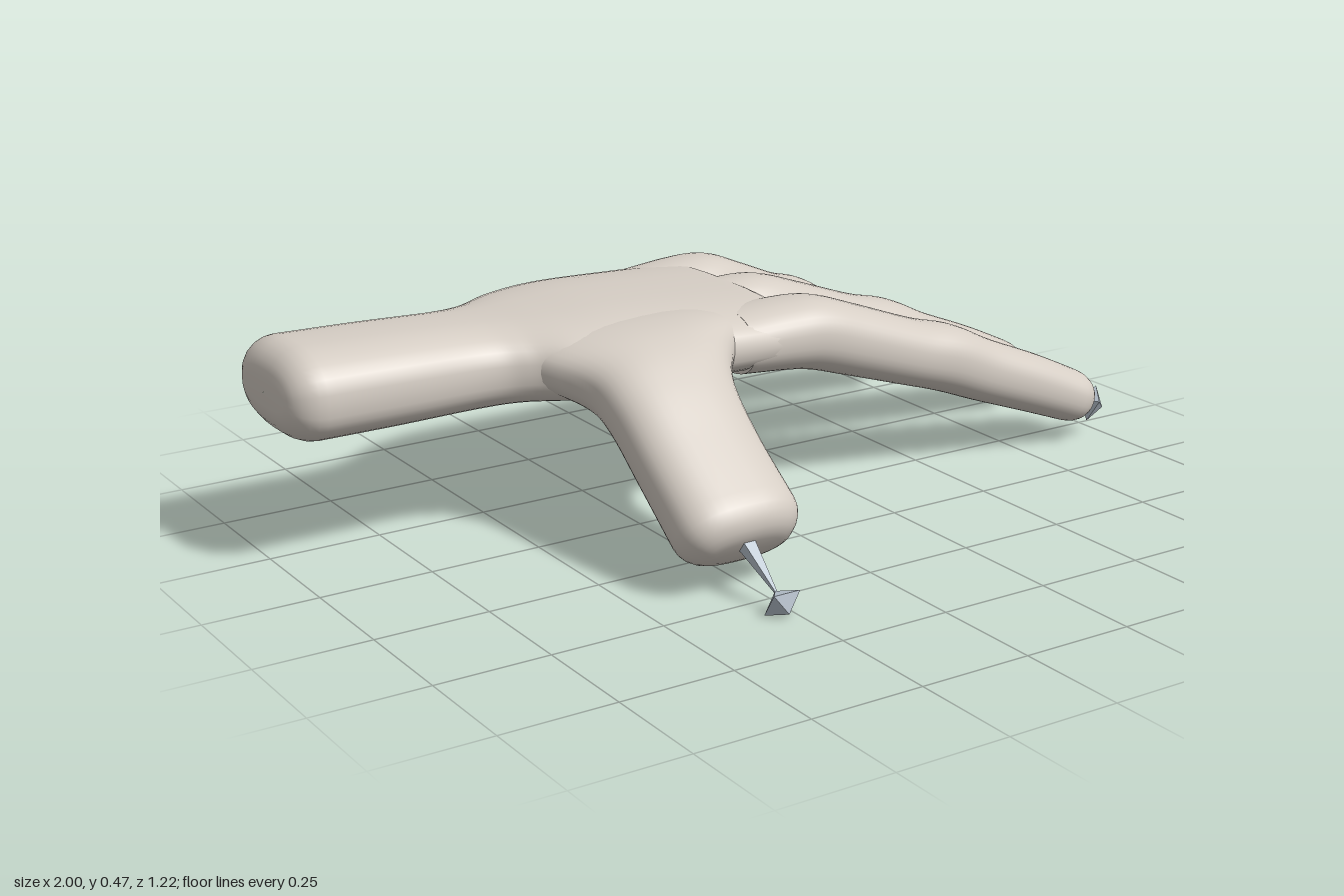
import * as THREE from 'three';

const V = (x, y, z) => new THREE.Vector3(x, y, z);
const skin = new THREE.MeshStandardMaterial({ color: 0xd5cdc4 });
const bone = new THREE.MeshStandardMaterial({ color: 0xb9c4cf, flatShading: true });

// Smooth loft. Stations are [x, y, z, halfWidth, halfThickness]; side is the width direction.
// power > 2 squares off the cross-section; cap is the radius of the rounded ends.
function loft(name, stations, side, { power = 2.3, cap = 0.06, capStart = 0, steps = 40 } = {}) {
  const path = new THREE.CatmullRomCurve3(stations.map(s => V(s[0], s[1], s[2])), false, 'catmullrom', 0.5);
  const size = new THREE.CatmullRomCurve3(stations.map(s => V(s[3], s[4], 0)), false, 'catmullrom', 0.5);
  const rings = [];
  const add = (t, shift, inset) => {
    const tangent = path.getTangent(t), s = size.getPoint(t);
    rings.push({
      c: path.getPoint(t).addScaledVector(tangent, shift),
      up: side.clone().cross(tangent).normalize(),
      a: Math.max(s.x - inset, 0.0005), b: Math.max(s.y - inset, 0.0005),
    });
  };
  const arc = [0, 1, 2, 3, 4, 5, 6].map(i => i / 6 * Math.PI / 2);
  add(0, -capStart, 1);
  for (const q of [...arc].reverse()) add(0, -capStart * Math.sin(q), capStart * (1 - Math.cos(q)));
  for (let i = 1; i < steps; i++) add(i / steps, 0, 0);
  for (const q of arc) add(1, cap * Math.sin(q), cap * (1 - Math.cos(q)));
  add(1, cap, 1);

  const N = 40, pos = [], index = [];
  const soft = v => Math.sign(v) * Math.abs(v) ** (2 / power);
  rings.forEach((r, i) => {
    for (let j = 0; j < N; j++) {
      const f = j / N * Math.PI * 2;
      const p = r.c.clone().addScaledVector(side, r.a * soft(Math.cos(f))).addScaledVector(r.up, r.b * soft(Math.sin(f)));
      pos.push(p.x, p.y, p.z);
      if (i === rings.length - 1) continue;
      const k = (j + 1) % N, A = i * N + j, B = i * N + k, C = A + N, D = B + N;
      index.push(A, C, B, B, C, D);
    }
  });
  const geo = new THREE.BufferGeometry();
  geo.setAttribute('position', new THREE.Float32BufferAttribute(pos, 3));
  geo.setIndex(index);
  geo.computeVertexNormals();
  const mesh = new THREE.Mesh(geo, skin);
  mesh.name = name;
  return mesh;
}

// Rig marker: tapered spike leaving the fingertip, ending in a small octahedron
function tipBone(name, from, to) {
  const g = new THREE.Group();
  const dir = to.clone().sub(from), len = dir.length();
  const spike = new THREE.Mesh(new THREE.ConeGeometry(0.024, len, 4), bone);
  spike.name = 'boneSpike';
  spike.position.y = -len / 2;
  const joint = new THREE.Mesh(new THREE.OctahedronGeometry(0.044), bone);
  joint.name = 'boneJoint';
  joint.scale.y = 0.68;
  joint.rotation.y = spike.rotation.y = Math.PI / 4;
  g.add(spike, joint);
  g.quaternion.setFromUnitVectors(V(0, 1, 0), dir.normalize());
  g.position.copy(to);
  g.name = name;
  return g;
}

export function createModel() {
  const hand = new THREE.Group();
  hand.name = 'hand';
  const across = V(0, 0, 1);

  // Wrist and palm in one sweep, ending at the finger webs
  hand.add(loft('wristAndPalm', [
    [-0.93, 0.38, -0.23, 0.168, 0.10],
    [-0.75, 0.378, -0.23, 0.166, 0.098],
    [-0.57, 0.376, -0.23, 0.166, 0.093],
    [-0.48, 0.378, -0.225, 0.195, 0.09],
    [-0.38, 0.382, -0.215, 0.268, 0.09],
    [-0.25, 0.384, -0.222, 0.292, 0.09],
    [-0.05, 0.38, -0.225, 0.303, 0.084],
    [0.10, 0.375, -0.23, 0.308, 0.079],
  ], across, { power: 2.6, cap: 0.06, capStart: 0.07, steps: 60 }));

  // Thumb with a flared root, dropping toward the front
  hand.add(loft('thumb', [
    [-0.23, 0.385, -0.14, 0.29, 0.07],
    [-0.215, 0.38, -0.01, 0.25, 0.083],
    [-0.24, 0.358, 0.08, 0.178, 0.092],
    [-0.262, 0.318, 0.16, 0.147, 0.09],
    [-0.27, 0.24, 0.27, 0.14, 0.088],
    [-0.27, 0.144, 0.4, 0.14, 0.09],
  ], V(-1, 0, 0), { power: 2.5, cap: 0.065, steps: 50 }));

  // Fingers: shared drooping profile [x, y, halfThickness], stretched to each length
  const profile = [
    [0.0, 0.375, 0.07], [0.12, 0.375, 0.078], [0.2, 0.368, 0.082], [0.3, 0.337, 0.08],
    [0.45, 0.287, 0.076], [0.55, 0.258, 0.078], [0.65, 0.215, 0.073], [0.78, 0.165, 0.069], [0.895, 0.117, 0.063],
  ];
  const fingers = [
    { name: 'frontFinger', z0: -0.03, z1: 0.052, w0: 0.104, w1: 0.081, end: 0.9, drop: 0, tip: V(0.965, 0.088, 0.08) },
    { name: 'middleFinger', z0: -0.23, z1: -0.231, w0: 0.094, w1: 0.086, end: 0.915, drop: 0, tip: V(0.973, 0.1, -0.233) },
    { name: 'backFinger', z0: -0.42, z1: -0.534, w0: 0.105, w1: 0.082, end: 0.755, drop: -0.015, tip: V(0.85, 0.105, -0.555) },
  ];
  for (const f of fingers) {
    const stations = profile.map(([x, y, b]) => {
      const t = x / 0.895, s = Math.max(0, (x - 0.2) / 0.695);
      const px = x < 0.2 ? x : 0.2 + s * (f.end - 0.2);
      return [px, y - f.drop * s, f.z0 + (f.z1 - f.z0) * t, f.w0 + (f.w1 - f.w0) * Math.min(1, t * 1.3), b];
    });
    hand.add(loft(f.name, stations, across, { cap: 0.055, steps: 56 }));
    const e = stations[stations.length - 1];
    hand.add(tipBone(f.name + 'Bone', V(e[0], e[1], e[2]), f.tip));
  }
  hand.add(tipBone('thumbBone', V(-0.277, 0.135, 0.43), V(-0.277, 0.036, 0.583)));
  return hand;
}
